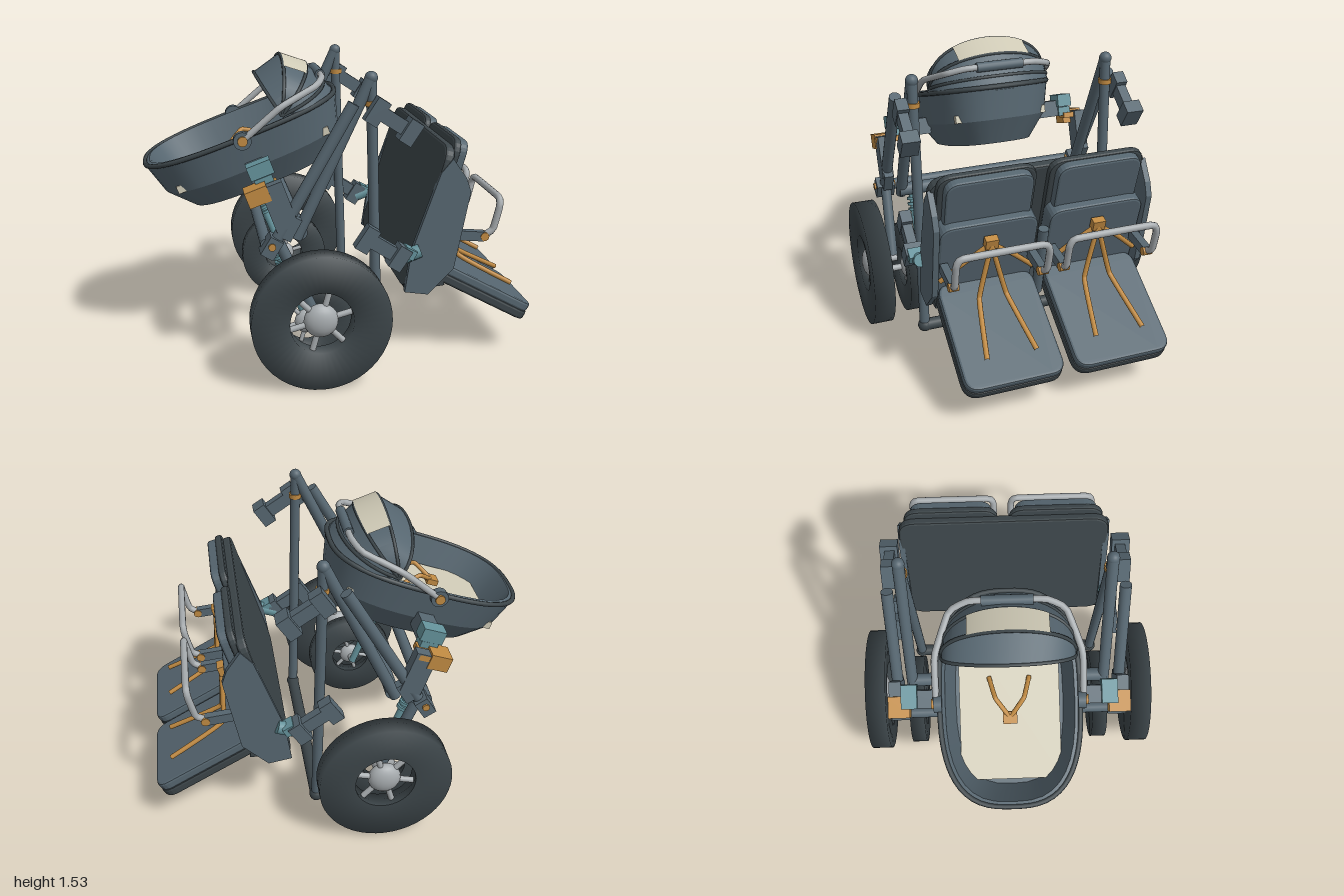
import * as THREE from 'three';
import { toCreasedNormals } from 'three/addons/utils/BufferGeometryUtils.js';

const paint = (name, color, side = THREE.FrontSide) => {
  const m = new THREE.MeshStandardMaterial({ color, side });
  m.name = name;
  return m;
};
const V = (x, y, z) => new THREE.Vector3(x, y, z);

export function createModel() {
  const root = new THREE.Group();
  root.name = 'twinStroller';
  const slate = paint('slate', 0x566670, THREE.DoubleSide);
  const dark = paint('charcoal', 0x3c4549);
  const orange = paint('orange', 0xc08a42);
  const teal = paint('teal', 0x64929b);
  const cream = paint('cream', 0xcfcab6, THREE.DoubleSide);
  const silver = paint('silver', 0xa6abae);

  const add = (name, geo, mat, parent = root) => {
    const m = new THREE.Mesh(geo, mat);
    m.name = name;
    parent.add(m);
    return m;
  };
  // straight rod between two points
  const rod = (name, a, b, r, mat, parent = root) => {
    const d = b.clone().sub(a);
    const m = add(name, new THREE.CylinderGeometry(r, r, d.length(), 16), mat, parent);
    m.position.copy(a).addScaledVector(d, 0.5);
    m.quaternion.setFromUnitVectors(V(0, 1, 0), d.normalize());
    return m;
  };
  const ball = (name, p, r, mat, parent = root) => {
    const m = add(name, new THREE.SphereGeometry(r, 18, 12), mat, parent);
    m.position.copy(p);
    return m;
  };
  const box = (name, w, h, d, x, y, z, rot, mat, parent = root) => {
    const m = add(name, new THREE.BoxGeometry(w, h, d), mat, parent);
    m.position.set(x, y, z);
    m.rotation.z = rot;
    return m;
  };
  // jointed tube through several points
  const bent = (name, pts, r, mat, parent = root) => {
    const path = new THREE.CatmullRomCurve3(pts, false, 'catmullrom', 0.15);
    return add(name, new THREE.TubeGeometry(path, 40, r, 10), mat, parent);
  };
  // surface through rows of points
  const surface = (rows) => {
    const n = rows[0].length, idx = [];
    for (let j = 0; j < rows.length - 1; j++) for (let i = 0; i < n - 1; i++) {
      const a = j * n + i, b = a + 1, c = a + n, d = c + 1;
      idx.push(a, c, b, b, c, d);
    }
    const g = new THREE.BufferGeometry().setFromPoints(rows.flat());
    g.setIndex(idx);
    return toCreasedNormals(g, 0.3);
  };
  // rounded cushion: thickness along x, length along y from y0 to y1
  const pad = (name, x0, x1, y0, y1, width, r, mat, z, parent) => {
    const bev = 0.012, w = width / 2 - bev, a = y0 + bev, b = y1 - bev;
    const s = new THREE.Shape();
    s.moveTo(-w + r, a);
    s.lineTo(w - r, a); s.quadraticCurveTo(w, a, w, a + r);
    s.lineTo(w, b - r); s.quadraticCurveTo(w, b, w - r, b);
    s.lineTo(-w + r, b); s.quadraticCurveTo(-w, b, -w, b - r);
    s.lineTo(-w, a + r); s.quadraticCurveTo(-w, a, -w + r, a);
    const g = new THREE.ExtrudeGeometry(s, { depth: x1 - x0 - 2 * bev, bevelSize: bev, bevelThickness: bev, bevelSegments: 2, curveSegments: 6 });
    g.translate(0, 0, x0 + bev).rotateY(Math.PI / 2).translate(0, 0, z);
    return add(name, g, mat, parent);
  };

  // wheels: dished ring tyre, hub and spokes
  const wheel = (name, x, R, hole, z, w) => {
    const g = new THREE.Group();
    g.name = name;
    const p = [[hole, -w * 0.4], [R, -w / 2], [R, w / 2], [hole, w * 0.4], [hole, -w * 0.4]];
    const tyre = new THREE.LatheGeometry(p.map(([r, y]) => new THREE.Vector2(r, y)), 48);
    add('tyre', tyre.rotateX(Math.PI / 2), dark, g);
    ball('hub', V(0, 0, 0), R * 0.25, silver, g).scale.z = 0.6;
    for (let i = 0; i < 6; i++) {
      const t = (i * Math.PI) / 3 + 0.25;
      rod('spoke', V(0, 0, 0), V(Math.cos(t) * hole * 1.03, Math.sin(t) * hole * 1.03, 0), R * 0.045, silver, g);
    }
    g.position.set(x, R, z);
    root.add(g);
  };

  for (const s of [1, -1]) {
    wheel('largeWheel', -0.18, 0.34, 0.155, s * 0.725, 0.11);
    wheel('smallWheel', -0.22, 0.25, 0.11, s * 0.515, 0.083);

    // side frame
    const z = s * 0.515, zo = s * 0.58;
    rod('uprightPost', V(0.095, 1.47, z), V(0.14, 0.08, z), 0.027, slate);
    rod('innerDiagonal', V(0.095, 1.47, z), V(-0.27, 0.69, z), 0.03, slate);
    rod('outerDiagonal', V(0.0, 1.36, zo), V(-0.39, 0.68, zo), 0.03, slate);
    ball('postTop', V(0.095, 1.47, z), 0.032, slate);
    ball('postFoot', V(0.14, 0.08, z), 0.037, dark);
    rod('postCollar', V(0.1, 1.36, z), V(0.1, 1.335, z), 0.034, orange);
    box('diagonalFoot', 0.07, 0.1, 0.1, -0.4, 0.68, zo, -0.55, slate);
    rod('pivotPin', V(-0.4, 0.69, s * 0.52), V(-0.4, 0.69, s * 0.64), 0.018, orange);

    // axle, suspension arm and damper
    rod('axle', V(-0.18, 0.34, s * 0.58), V(-0.18, 0.34, s * 0.7), 0.018, silver);
    rod('smallAxle', V(-0.22, 0.25, s * 0.43), V(-0.22, 0.25, s * 0.6), 0.018, silver);
    rod('suspensionArm', V(-0.19, 0.32, s * 0.6), V(-0.36, 0.69, s * 0.58), 0.028, slate);
    rod('damper', V(-0.22, 0.25, s * 0.43), V(-0.38, 0.66, s * 0.43), 0.02, teal);
    for (let i = 0; i < 4; i++) {
      const k = 0.7 + i * 0.07;
      const a = V(-0.22 - 0.16 * k, 0.25 + 0.41 * k, s * 0.43);
      rod('damperCoil', a, a.clone().add(V(-0.006, 0.015, 0)), 0.034, teal);
    }

    // brackets for the upper and lower seat positions
    for (const [x, y] of [[0.09, 1.33], [0.05, 0.7]]) {
      box('bracketPlate', 0.07, 0.13, 0.06, x + 0.02, y - 0.01, zo, -0.58, slate);
      box('bracketArm', 0.2, 0.07, 0.05, x + 0.09, y - 0.05, zo, -0.58, slate);
      box('bracketBlock', 0.07, 0.12, 0.09, x + 0.18, y - 0.11, s * 0.585, -0.58, slate);
    }
    rod('seatClamp', V(0.23, 0.57, s * 0.57), V(0.34, 0.61, s * 0.57), 0.035, teal);
    box('clampLever', 0.06, 0.05, 0.08, 0.28, 0.61, s * 0.58, -0.5, teal);

    // carrycot mounts
    box('cotBracket', 0.11, 0.23, 0.06, -0.36, 0.88, zo, 0.35, slate);
    box('cotBracketFoot', 0.07, 0.12, 0.05, -0.31, 0.77, zo, -0.5, slate);
    box('mountBlock', 0.11, 0.08, 0.11, -0.46, 0.935, s * 0.56, 0.35, orange);
    box('mountLatch', 0.07, 0.03, 0.12, -0.39, 0.97, s * 0.55, 0.35, orange);
    box('mountAdapter', 0.12, 0.07, 0.08, -0.44, 1.045, s * 0.5, 0.35, teal);
    box('adapterFoot', 0.09, 0.05, 0.07, -0.42, 0.985, s * 0.5, 0.35, teal);
    box('cotStub', 0.09, 0.09, 0.2, -0.44, 1.0, s * 0.4, 0.35, slate);
  }
  rod('footBar', V(0.14, 0.08, -0.5), V(0.14, 0.08, 0.5), 0.033, dark);
  rod('rearCrossTube', V(-0.42, 0.68, -0.56), V(-0.42, 0.68, 0.56), 0.03, slate);
  rod('middleCrossTube', V(-0.25, 0.72, -0.53), V(-0.25, 0.72, 0.53), 0.035, slate);

  // double seat: shared shell with side wings
  const back = new THREE.Group();
  back.name = 'backrest';
  back.position.set(0.27, 0.42, 0);
  back.rotation.z = -0.28;
  root.add(back);
  pad('backPanel', 0, 0.05, -0.02, 0.74, 1.12, 0.08, dark, 0, back);
  const wing = [[0.27, 0.39], [0.39, 0.37], [0.52, 0.5], [0.595, 0.9], [0.57, 0.97], [0.5, 1.07], [0.44, 1.0], [0.3, 0.6]];
  const wingShape = new THREE.Shape(wing.map(([x, y]) => new THREE.Vector2(x, y)));
  for (const s of [1, -1]) {
    add('sideWing', new THREE.ExtrudeGeometry(wingShape, { depth: 0.03, bevelEnabled: false }), slate).position.z = s * 0.55 - 0.015;
  }
  box('shellBase', 0.2, 0.05, 1.08, 0.38, 0.42, 0, 0.1, dark);
  rod('centrePillar', V(0.48, 0.4, 0), V(0.56, 0.8, 0), 0.027, slate);

  const base = new THREE.Group();
  base.name = 'seatBase';
  base.position.set(0.5, 0.51, 0);
  base.rotation.z = -2.077;
  root.add(base);

  for (const s of [1, -1]) {
    const z = s * 0.28;
    pad('backCushionRear', 0.04, 0.08, 0.06, 0.78, 0.5, 0.07, dark, z, back);
    pad('headCushion', 0.07, 0.125, 0.46, 0.775, 0.44, 0.06, slate, z, back);
    pad('backCushion', 0.07, 0.17, 0.04, 0.54, 0.5, 0.06, slate, z, back);
    pad('seatCushion', 0, 0.05, -0.04, 0.54, 0.5, 0.06, slate, z, base);
    pad('seatCushionBase', 0.045, 0.095, -0.06, 0.545, 0.51, 0.07, dark, z, base);

    // harness
    box('harnessBuckle', 0.04, 0.055, 0.065, 0.585, 0.79, z, -0.28, orange);
    for (const k of [1, -1]) {
      bent('shoulderStrap', [V(0.58, 0.78, z), V(0.55, 0.68, z + k * 0.13), V(0.51, 0.575, z + k * 0.24)], 0.013, orange);
      bent('legStrap', [V(0.59, 0.78, z), V(0.605, 0.5, z + k * 0.07), V(0.885, 0.34, z + k * 0.125)], 0.013, orange);
      box('barMount', 0.16, 0.05, 0.04, 0.61, 0.655, z + k * 0.225, -0.1, slate);
      rod('barPivot', V(0.69, 0.648, z + k * 0.2), V(0.69, 0.648, z + k * 0.25), 0.022, orange);
    }
    // safety bar
    bent('safetyBar', [[0.69, 0.65, 0.225], [0.735, 0.68, 0.23], [0.765, 0.8, 0.23], [0.77, 0.84, 0.2],
      [0.77, 0.84, -0.2], [0.765, 0.8, -0.23], [0.735, 0.68, -0.23], [0.69, 0.65, -0.225]]
      .map(([x, y, dz]) => V(x, y, z + dz)), 0.018, silver);
  }

  // carrycot: lofted rounded bucket, outside then inside
  const cot = new THREE.Group();
  cot.name = 'carrycot';
  cot.position.set(-0.5, 1.165, 0);
  cot.rotation.z = 0.354;
  root.add(cot);
  const ring = (y, a, b, n = 36) => Array.from({ length: n + 1 }, (_, i) => {
    const t = (i / n) * Math.PI * 2, c = Math.cos(t), q = Math.sin(t), e = 0.72;
    return V(a * Math.sign(c) * Math.abs(c) ** e, y, b * Math.sign(q) * Math.abs(q) ** e);
  });
  add('cotBody', surface([[-0.3, 0, 0], [-0.3, 0.375, 0.23], [-0.17, 0.485, 0.315], [0, 0.53, 0.345],
    [0.008, 0.5, 0.315], [-0.17, 0.44, 0.27], [-0.17, 0, 0]].map((r) => ring(...r))), slate, cot);
  const rim = new THREE.CatmullRomCurve3(ring(0, 0.525, 0.342).slice(0, -1), true);
  add('cotRim', new THREE.TubeGeometry(rim, 72, 0.013, 8, true), dark, cot);
  box('mattress', 0.82, 0.04, 0.5, 0, -0.15, 0, 0, cream, cot);
  box('cotBuckle', 0.06, 0.03, 0.07, -0.1, -0.09, 0, 0, orange, cot);
  for (const k of [1, -1]) {
    bent('cotStrap', [V(-0.1, -0.09, 0), V(0, -0.05, k * 0.07), V(0.1, -0.12, k * 0.1)], 0.012, orange, cot);
  }

  // folding hood: arches fanned from two side pivots
  const arch = ([dx, dy], t0 = 0, t1 = Math.PI, grow = 1) => Array.from({ length: 21 }, (_, i) => {
    const t = t0 + ((t1 - t0) * i) / 20, h = Math.max(0, Math.sin(t)) ** 0.75 * grow;
    return V(-0.31 + dx * h, 1.26 + dy * h, 0.325 * Math.cos(t) * grow);
  });
  const fan = [[-0.105, 0.165], [0.03, 0.26], [0.16, 0.215], [0.25, 0.125], [0.31, 0.07]];
  add('hood', surface(fan.map((d) => arch(d))), slate);
  fan.slice(0, 4).forEach((d) => {
    add('hoodRib', new THREE.TubeGeometry(new THREE.CatmullRomCurve3(arch(d)), 40, 0.009, 6), dark);
  });
  add('hoodWindow', surface([fan[1], fan[2]].map((d) => arch(d, 0.95, Math.PI - 0.95, 1.03))), cream);

  // carrying handle
  const half = [[-0.51, 1.15, 0.36], [-0.32, 1.31, 0.355], [-0.13, 1.4, 0.28], [-0.09, 1.43, 0.18]];
  const mirrored = half.map(([x, y, z]) => V(x, y, -z)).reverse();
  bent('cotHandle', [...half.map((p) => V(...p)), ...mirrored], 0.017, silver);
  rod('handleGrip', V(-0.09, 1.43, -0.125), V(-0.09, 1.43, 0.125), 0.026, slate);
  for (const s of [1, -1]) {
    rod('handleJoint', V(-0.51, 1.15, s * 0.33), V(-0.51, 1.15, s * 0.37), 0.045, slate);
    rod('handleButton', V(-0.51, 1.15, s * 0.36), V(-0.51, 1.15, s * 0.382), 0.025, orange);
  }
  return root;
}
